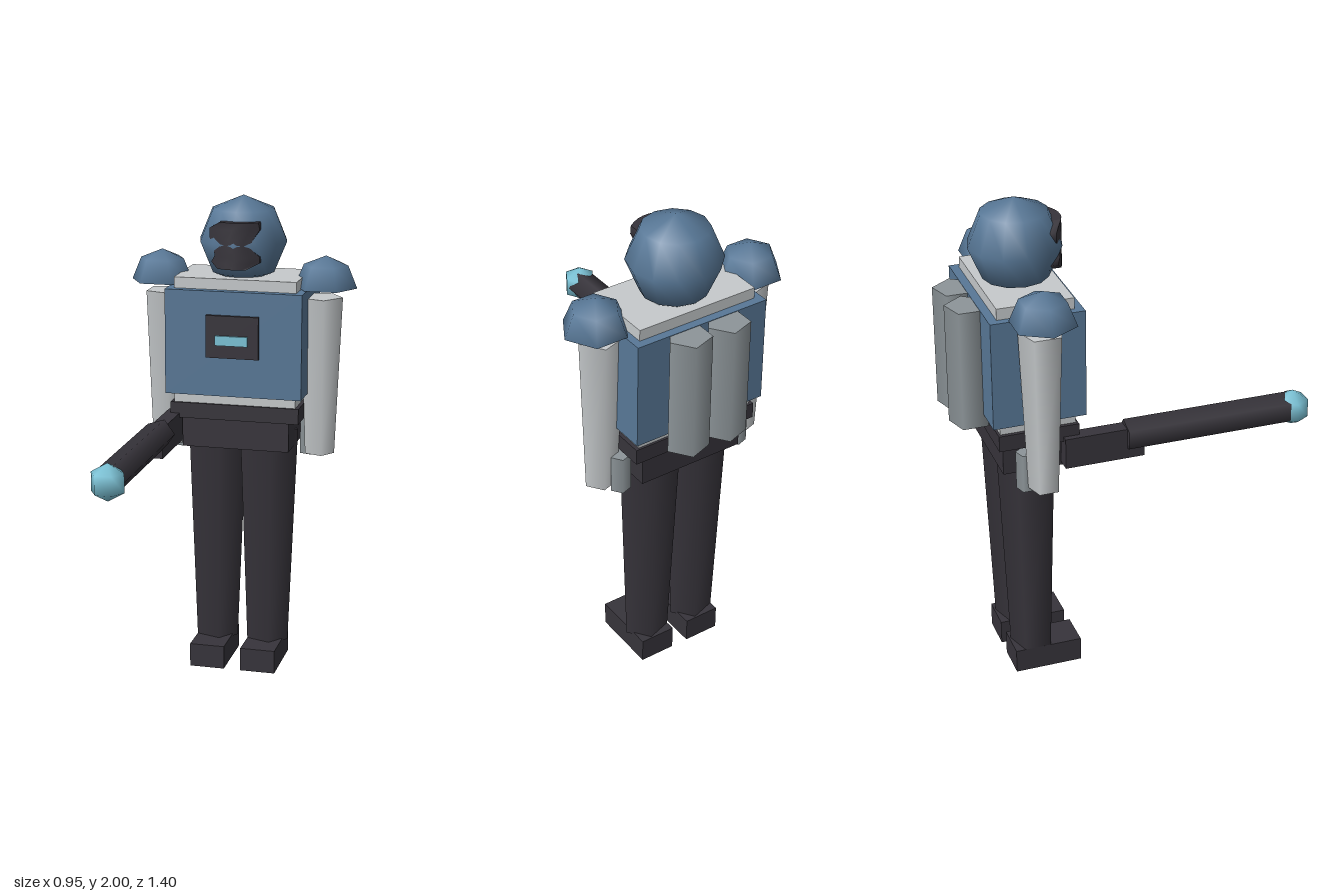
import * as THREE from 'three';

const material = (name, color) => {
  const m = new THREE.MeshStandardMaterial({ color });
  m.name = name;
  return m;
};

export function createModel() {
  const group = new THREE.Group();
  const blue = material('armour blue', 0x587897);
  const pale = material('pale grey', 0xc6cacc);
  const grey = material('mid grey', 0x8d9599);
  const dark = material('charcoal', 0x37343b);
  const glow = material('light cyan', 0x7cc4d8);
  const Z = -0.405; // depth of the body's centre line

  const add = (name, geometry, mat, x, y, z) => {
    const mesh = new THREE.Mesh(geometry, mat);
    mesh.name = name;
    mesh.position.set(x, y, z);
    group.add(mesh);
    return mesh;
  };
  // Box given by its extents in y and z
  const box = (name, mat, x, width, y0, y1, z0, z1) =>
    add(name, new THREE.BoxGeometry(width, y1 - y0, z1 - z0), mat, x, (y0 + y1) / 2, (z0 + z1) / 2);
  // Five-sided post with one corner towards +x
  const post = (name, mat, rTop, rBottom, x, y0, y1, z) =>
    add(name, new THREE.CylinderGeometry(rTop, rBottom, y1 - y0, 5).rotateY(Math.PI / 2), mat, x, (y0 + y1) / 2, z);

  // Trunk
  box('undersuit', pale, 0, 0.51, 1.155, 1.677, -0.556, -0.256);
  box('chestArmour', blue, 0, 0.57, 1.197, 1.632, -0.59, -0.222);
  box('chestPanel', dark, 0, 0.22, 1.36, 1.535, -0.225, -0.206);
  box('chestLight', glow, 0, 0.135, 1.415, 1.455, -0.2, -0.191);
  box('belt', dark, 0, 0.54, 1.09, 1.155, -0.565, -0.247);
  box('hips', dark, 0, 0.45, 0.963, 1.1, -0.54, -0.27);

  // Head
  add('head', new THREE.SphereGeometry(0.183, 12, 4), blue, 0, 1.817, Z);

  // Visor: rows of [y, left edge, right edge], bent around the face
  const rows = [
    [1.91, -0.06, 0.095], [1.88, -0.11, 0.1], [1.84, -0.11, 0.075], [1.81, -0.085, 0.065],
    [1.77, -0.085, 0.1], [1.745, -0.1, 0.1], [1.72, -0.07, 0.05],
  ];
  const visor = new THREE.BoxGeometry(1, 1, 1, 6, rows.length - 1, 1);
  const p = visor.attributes.position;
  for (let i = 0; i < p.count; i++) {
    const [y, x0, x1] = rows[Math.round((0.5 - p.getY(i)) * (rows.length - 1))];
    const x = x0 + (x1 - x0) * (p.getX(i) + 0.5);
    p.setXYZ(i, x, y, p.getZ(i) > 0 ? -0.226 - 4 * x * x : -0.31);
  }
  visor.computeVertexNormals();
  add('visor', visor, dark, 0, 0, 0);

  // Paired parts
  for (const [side, s] of [['left', 1], ['right', -1]]) {
    add(side + 'Shoulder', new THREE.SphereGeometry(0.13, 6, 2, 0, Math.PI * 2, 0, Math.PI / 2), blue, s * 0.345, 1.635, Z);
    const underside = new THREE.CircleGeometry(0.13, 6).rotateX(Math.PI / 2);
    add(side + 'ShoulderUnderside', underside, blue, s * 0.345, 1.635, Z);
    post(side + 'Arm', pale, 0.09, 0.064, s * 0.327, 0.937, 1.595, Z);
    post(side + 'Hand', grey, 0.041, 0.041, s * 0.273, 0.918, 1.075, -0.461);
    post(side + 'BackTank', grey, 0.085, 0.085, s * 0.085, 1.145, 1.63, -0.622);
    post(side + 'Leg', dark, 0.127, 0.091, s * 0.11, 0.09, 1.03, Z);
    box(side + 'Boot', dark, s * 0.11, 0.148, 0, 0.1, -0.498, -0.222);
  }

  // Blaster held forward on the right side
  box('blasterBody', dark, -0.263, 0.062, 0.982, 1.108, -0.31, 0.01);
  const barrel = new THREE.CylinderGeometry(0.063, 0.063, 0.69, 5).rotateY(Math.PI / 2).rotateX(Math.PI / 2);
  add('blasterBarrel', barrel, dark, -0.263, 1.068, 0.285);
  add('blasterTip', new THREE.SphereGeometry(0.075, 6, 3), glow, -0.263, 1.067, 0.644);

  return group;
}
